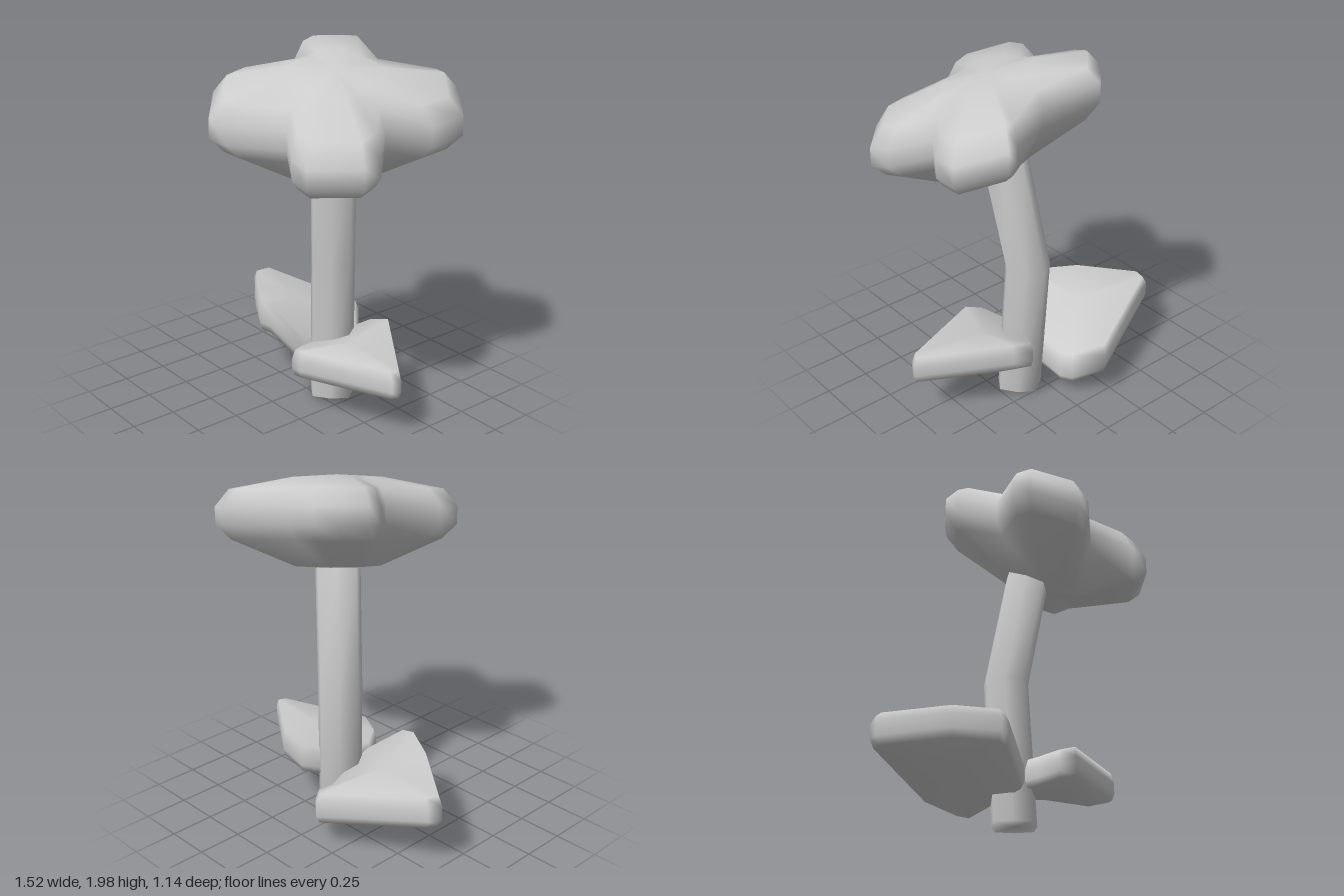
import * as THREE from 'three';
import { mergeVertices } from 'three/addons/utils/BufferGeometryUtils.js';

const material = new THREE.MeshStandardMaterial({ color: 0xcccccc });

// Welds the surface so it shades smoothly and names the part
function smoothMesh(name, geometry) {
  const geo = mergeVertices(geometry, 1e-4);
  geo.computeVertexNormals();
  const mesh = new THREE.Mesh(geo, material);
  mesh.name = name;
  return mesh;
}

// Closed solid from a rim outline (counter-clockwise from above), stacked as scaled
// copies about a centre. Profile rows, bottom to top: [scale, height, roundness],
// where roundness 1 turns the outline into a circle.
function loft(name, centre, outline, profile) {
  const n = outline.length, pos = [], index = [];
  const radii = outline.map((p) => Math.hypot(p[0] - centre[0], p[2] - centre[2]));
  const mean = radii.reduce((a, b) => a + b) / n;
  for (const [scale, height, round = 0] of profile) {
    outline.forEach((p, i) => {
      const f = scale * (1 + (mean / radii[i] - 1) * round);
      const [x, y, z] = p.map((v, k) => centre[k] + (v - centre[k]) * f);
      pos.push(x, y + height, z);
    });
  }
  for (let j = 0; j < profile.length - 1; j++) {
    for (let i = 0; i < n; i++) {
      const a = j * n + i, b = j * n + (i + 1) % n, c = b + n, d = a + n;
      if (profile[j][0] > 0) index.push(a, b, d);
      if (profile[j + 1][0] > 0) index.push(b, c, d);
    }
  }
  const geo = new THREE.BufferGeometry();
  geo.setAttribute('position', new THREE.Float32BufferAttribute(pos, 3));
  geo.setIndex(index);
  return smoothMesh(name, geo);
}

// Stem with a rounded-diamond section, bent by shifting each row of vertices
function makeStem() {
  const geo = new THREE.CylinderGeometry(0.145, 0.145, 2, 8, 2);
  const rows = [[0.095, 0, -0.112], [0.06, 0.8, -0.14], [0.155, 1.47, -0.06]];
  const p = geo.attributes.position;
  for (let i = 0; i < p.count; i++) {
    const [x, y, z] = rows[Math.round(p.getY(i) + 1)];
    const pinch = Math.abs(p.getX(i) * p.getZ(i)) > 0.001 ? 0.84 : 1;
    p.setXYZ(i, p.getX(i) * pinch + x, y, p.getZ(i) * pinch + z);
  }
  geo.deleteAttribute('uv');
  geo.deleteAttribute('normal');
  return smoothMesh('stem', geo);
}

// Four-petal head on a tilted plane
function makeFlowerHead() {
  const tilt = (x, z) => 1.715 - 0.22 * (x - 0.22) - 0.21 * z;
  const rim = [
    [0.58, -0.03], [0.71, -0.23], [0.74, -0.41], [0.54, -0.57], [0.48, -0.56],
    [0.17, -0.38], [-0.12, -0.47], [-0.21, -0.38], [-0.3, -0.27], [-0.29, -0.18],
    [-0.15, 0.0], [-0.28, 0.27], [-0.28, 0.4], [-0.08, 0.57], [0.03, 0.54],
    [0.26, 0.34], [0.47, 0.47], [0.58, 0.47], [0.76, 0.26], [0.74, 0.14]
  ].map(([x, z]) => [x, tilt(x, z), z]);
  return loft('flowerHead', [0.22, tilt(0.22, 0), 0], rim, [
    [0, -0.33], [0.42, -0.315, 0.8], [0.88, -0.16], [1, -0.08],
    [1, 0.02], [0.88, 0.115], [0.42, 0.18, 0.7], [0, 0.195]
  ]);
}

export function createModel() {
  const group = new THREE.Group();
  group.name = 'flower';
  group.add(makeStem(), makeFlowerHead());

  // Broad leaf on the -x side, its front edge raised
  group.add(loft('largeLeaf', [-0.3, 0.33, -0.17], [
    [0.035, 0.24, 0.03], [-0.02, 0.14, -0.33], [-0.03, 0.17, -0.42], [-0.17, 0.25, -0.54],
    [-0.74, 0.36, -0.28], [-0.765, 0.35, -0.2], [-0.46, 0.415, 0.02],
    [-0.24, 0.415, 0.15], [-0.17, 0.41, 0.13]
  ], [[0, -0.1], [0.95, -0.085], [1, -0.04], [1, 0.04], [0.94, 0.09], [0, 0.09]]));

  // Smaller leaf on the +x side, its back edge raised
  group.add(loft('smallLeaf', [0.32, 0.31, -0.05], [
    [0.76, 0.32, -0.02], [0.32, 0.38, -0.34], [0.18, 0.33, -0.33],
    [0.06, 0.25, -0.1], [0.06, 0.24, 0.1], [0.12, 0.27, 0.2],
    [0.22, 0.305, 0.23], [0.74, 0.32, 0.025]
  ], [[0, -0.13], [0.6, -0.12], [0.96, -0.07], [1, -0.03], [1, 0.03], [0.95, 0.085], [0, 0.09]]));

  return group;
}
